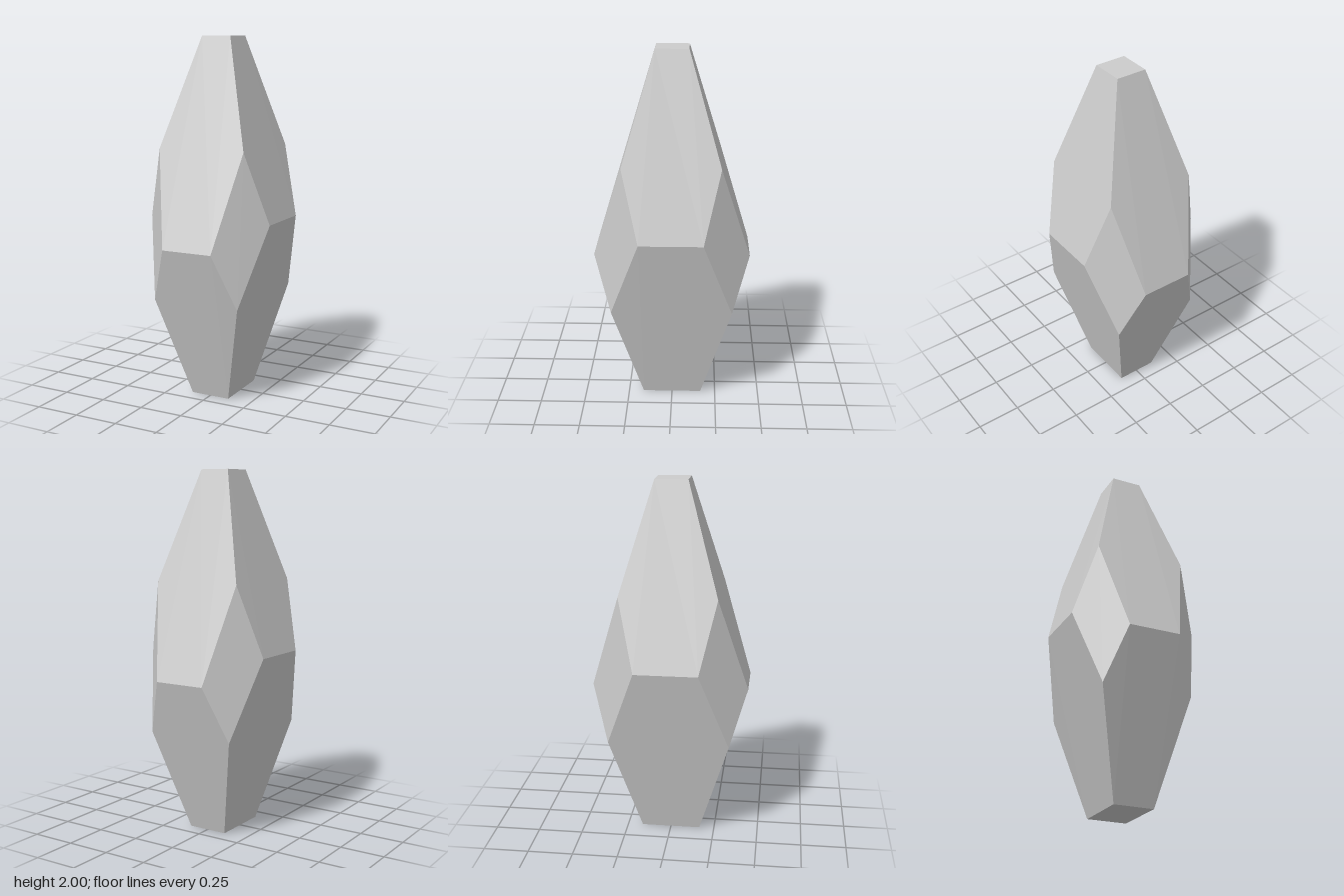
import * as THREE from 'three';
import { ConvexGeometry } from 'three/addons/geometries/ConvexGeometry.js';

export function createModel() {
  const group = new THREE.Group();
  group.name = 'crystal';

  // One quarter of the cut stone; each corner is mirrored across x and z
  const corners = [
    [0.085, 2, 0.09],      // top table
    [0.253, 1.4, 0.266],   // upper tip of the diamond facet
    [0.145, 0.875, 0.43],  // front girdle
    [0.364, 1.01, 0.174],  // side girdle
    [0.253, 0.57, 0.335],  // lower tip of the diamond facet
    [0.113, 0, 0.165],     // base
  ];
  const points = [];
  for (const [x, y, z] of corners)
    for (const sx of [-1, 1])
      for (const sz of [-1, 1]) points.push(new THREE.Vector3(sx * x, y, sz * z));

  // Flat facets spanning all corners
  const gem = new THREE.Mesh(
    new ConvexGeometry(points),
    new THREE.MeshStandardMaterial({ color: 0xcccccc, flatShading: true })
  );
  gem.name = 'facetedStone';
  group.add(gem);
  return group;
}
